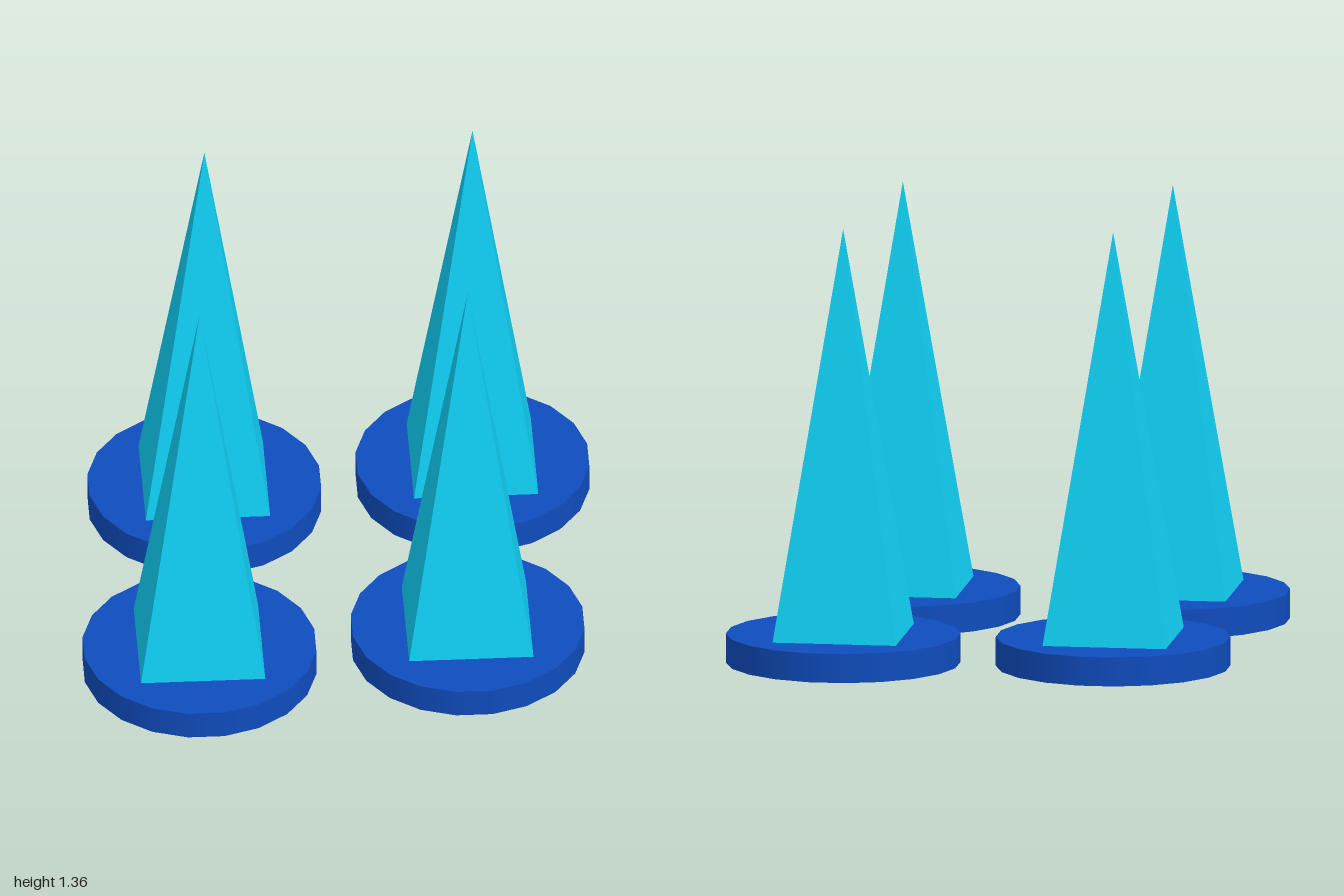
import * as THREE from 'three';

const U = 1 / 11; // base module: every dimension is a whole multiple

export function createModel() {
  const model = new THREE.Group();
  model.name = 'spikeSet';

  const discMaterial = new THREE.MeshStandardMaterial({ color: 0x0f4cbd });
  const spikeMaterial = new THREE.MeshStandardMaterial({ color: 0x10cff5, flatShading: true });

  // Round base disc, and a four-sided spike with its corners on the axes
  const discGeometry = new THREE.CylinderGeometry(4 * U, 4 * U, U, 20);
  const spikeGeometry = new THREE.ConeGeometry(3 * U, 14 * U, 4);

  function addSpike(name, x, z) {
    const group = new THREE.Group();
    group.name = name;
    group.position.set(x, 0, z);

    const disc = new THREE.Mesh(discGeometry, discMaterial);
    disc.name = 'baseDisc';
    disc.position.y = U / 2;

    const spike = new THREE.Mesh(spikeGeometry, spikeMaterial);
    spike.name = 'pyramidSpike';
    spike.position.y = 8 * U;

    group.add(disc, spike);
    model.add(group);
  }

  // Four spikes in a diamond, slightly wider than deep
  addSpike('leftSpike', 7 * U, 0);
  addSpike('rightSpike', -7 * U, 0);
  addSpike('frontSpike', 0, 6 * U);
  addSpike('backSpike', 0, -6 * U);

  return model;
}
